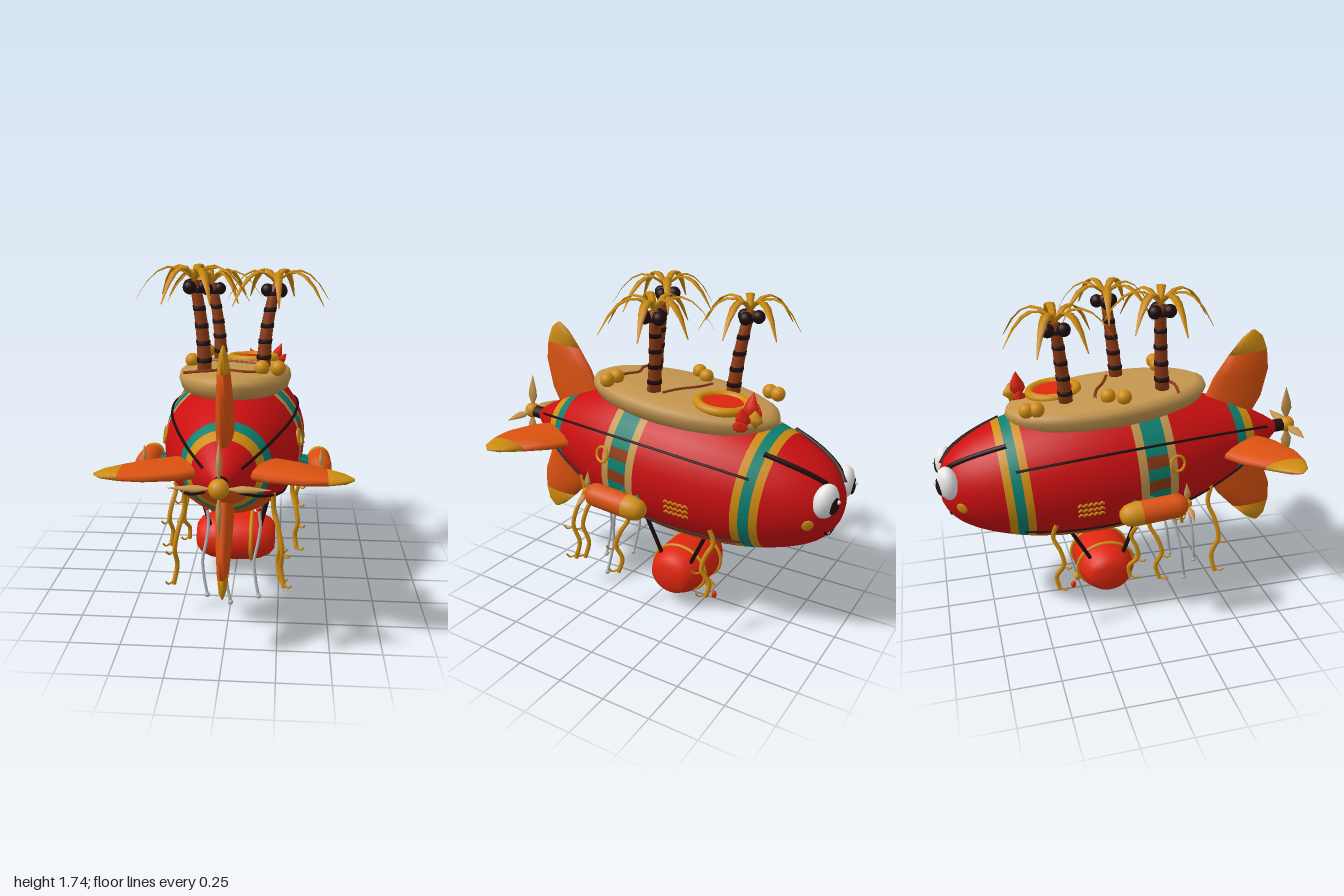
import * as THREE from 'three';

const mat = (name, color, side = THREE.FrontSide) => {
  const m = new THREE.MeshStandardMaterial({ color, side });
  m.name = name;
  return m;
};
const V = (x, y, z) => new THREE.Vector3(x, y, z);
const rad = THREE.MathUtils.degToRad;

export function createModel() {
  const red = mat('red', 0xcc0f10), scarlet = mat('scarlet', 0xe0260f), orange = mat('orange', 0xdb5210);
  const gold = mat('gold', 0xcf8c10), teal = mat('teal', 0x0c8070), tan = mat('tan', 0xc4964f);
  const brown = mat('brown', 0x8c3a14), dark = mat('dark', 0x200c0c);
  const white = mat('white', 0xf2f2f2), silver = mat('silver', 0xb4b8bc);

  const root = new THREE.Group();
  root.name = 'airship';
  // Hull parts share a frame pitched slightly nose-down
  const ship = new THREE.Group();
  ship.name = 'hullAssembly';
  ship.position.y = 0.81;
  ship.rotation.x = -0.085;
  root.add(ship);

  const add = (parent, name, geo, material, x = 0, y = 0, z = 0) => {
    const m = new THREE.Mesh(geo, material);
    m.name = name;
    m.position.set(x, y, z);
    parent.add(m);
    return m;
  };
  const ball = (parent, name, material, r, x, y, z) =>
    add(parent, name, new THREE.SphereGeometry(r, 16, 12), material, x, y, z);
  const tube = (parent, name, material, pts, r, sides = 6) =>
    add(parent, name, new THREE.TubeGeometry(new THREE.CatmullRomCurve3(pts), pts.length * 6, r, sides), material);
  // Lathe whose axis lies along z
  const latheZ = (pts, seg) =>
    new THREE.LatheGeometry(pts.map(p => new THREE.Vector2(...p)), seg).rotateX(Math.PI / 2);

  // Skin over closed rings, capped at both ends and turned outward
  function loft(rings) {
    const n = rings[0].length, pts = rings.flat(), idx = [];
    for (let i = 0; i < rings.length - 1; i++) for (let j = 0; j < n; j++) {
      const a = i * n + j, b = i * n + (j + 1) % n;
      idx.push(a, b, a + n, b, b + n, a + n);
    }
    const last = (rings.length - 1) * n;
    for (let j = 1; j < n - 1; j++) idx.push(0, j + 1, j, last, last + j, last + j + 1);
    let vol = 0;
    for (let i = 0; i < idx.length; i += 3)
      vol += pts[idx[i]].dot(V(0, 0, 0).crossVectors(pts[idx[i + 1]], pts[idx[i + 2]]));
    if (vol < 0) idx.reverse();
    const g = new THREE.BufferGeometry().setFromPoints(pts);
    g.setIndex(idx);
    g.computeVertexNormals();
    return g;
  }
  const ellipse = (n, f) => Array.from({ length: n }, (_, k) => f(Math.cos(k / n * 2 * Math.PI), Math.sin(k / n * 2 * Math.PI)));
  // Leaf-shaped blade growing along +y, chord along z
  const blade = (len, chord, thick) => loft([[0, .25], [.2, .35], [.42, 1], [.6, .85], [.82, .4], [1, .04]]
    .map(([t, w]) => ellipse(8, (c, s) => V(c * thick * w, t * len, s * chord * w))));

  // Hull: painted lathe
  const profile = new THREE.SplineCurve([[0, -.985], [.07, -.977], [.15, -.935], [.21, -.865], [.265, -.76], [.32, -.6], [.36, -.4],
    [.377, -.15], [.362, .1], [.322, .3], [.25, .5], [.18, .65], [.09, .8], [.03, .88]].map(p => new THREE.Vector2(...p))).getPoints(260);
  const interp = (pts, z) => {
    let i = 1;
    while (i < pts.length - 1 && pts[i].y < z) i++;
    const a = pts[i - 1], b = pts[i];
    return a.x + (b.x - a.x) * THREE.MathUtils.clamp((z - a.y) / (b.y - a.y), 0, 1);
  };
  const stations = [-.985, -.977, -.96, -.935, -.9, -.865, -.82, -.77, -.72, -.67, -.63, -.58, -.54, -.42, -.3, -.2, -.1,
    -.005, .04, .155, .2, .3, .4, .5, .58, .64, .7, .76, .82, .88];
  const hull = stations.map(z => new THREE.Vector2(interp(profile, z), z));
  // Point on the hull skin; e is degrees above the horizontal
  const skin = (z, e, off = 0, side = 1) => {
    const r = interp(hull, z) + off;
    return V(side * r * Math.cos(rad(e)), r * Math.sin(rad(e)), z);
  };
  const paints = [red, orange, gold, teal, tan, brown];
  const paintAt = (z, d) => { // d: degrees round from the keel
    if (z > -.67 && z < -.54) return z > -.63 && z < -.58 ? 3 : 2;
    if (z > -.005 && z < .2) return z < .04 || z > .155 ? 4 : (d > 80 && d < 90) || (d > 100 && d < 110) ? 5 : 3;
    if (z > .58 && z < .7) return z < .64 ? 3 : 2;
    return z > -.54 && d < 50 ? 1 : 0;
  };
  const SEG = 36, hullGeo = new THREE.LatheGeometry(hull, SEG).rotateX(Math.PI / 2);
  const faces = paints.map(() => []), N = hull.length;
  for (let i = 0; i < SEG; i++) for (let j = 0; j < N - 1; j++) {
    const d = (i + .5) * 360 / SEG, a = i * N + j;
    faces[paintAt((stations[j] + stations[j + 1]) / 2, Math.min(d, 360 - d))].push(a, a + N, a + 1, a + N + 1, a + 1, a + N);
  }
  hullGeo.setIndex(faces.flat());
  hullGeo.clearGroups();
  faces.reduce((start, f, k) => (hullGeo.addGroup(start, f.length, k), start + f.length), 0);
  add(ship, 'hull', hullGeo, paints);

  // Tail propeller
  add(ship, 'propellerShaft', new THREE.CylinderGeometry(.035, .035, .09, 12).rotateX(Math.PI / 2), dark, 0, 0, .9);
  ball(ship, 'propellerHub', gold, .045, 0, 0, .955);
  for (let k = 0; k < 4; k++)
    add(ship, 'propellerBlade', blade(.22, .032, .014), tan, 0, 0, .955).rotation.z = k * Math.PI / 2;

  // Four tail fins with gold tips: [span, leading z, trailing z, half thickness]
  const fin = [[.08, .42, .72, .045], [.2, .45, .8, .042], [.35, .53, .845, .036], [.46, .62, .84, .028], [.54, .695, .815, .018], [.578, .75, .775, .004]]
    .map(([s, a, b, t]) => ellipse(14, (c, q) => V(q * t, s, (a + b) / 2 + c * (b - a) / 2)));
  for (let k = 0; k < 4; k++) {
    add(ship, 'tailFin', loft(fin.slice(0, 4)), orange).rotation.z = k * Math.PI / 2;
    add(ship, 'finTip', loft(fin.slice(3)), gold).rotation.z = k * Math.PI / 2;
  }

  // Details repeated on both flanks
  for (const s of [-1, 1]) {
    for (const e of [28, -40])
      tube(ship, 'seamLine', dark, Array.from({ length: 15 }, (_, i) => skin(-.6 + i * .1, e, .003, s)), .007);
    tube(ship, 'eyebrow', dark, [[-.62, 53], [-.72, 54], [-.83, 56], [-.91, 59], [-.955, 62]].map(([z, e]) => skin(z, e, .008, s)), .013, 8);
    // Painted squiggles and ring
    for (const e of [-9, -14, -19])
      tube(ship, 'squiggle', gold, Array.from({ length: 11 }, (_, i) => skin(-.33 + i * .013, e + (i % 2 ? .9 : -.9), .002, s)), .006, 5);
    const place = (m, z, e, nz) => {
      const p = skin(z, e, .002, s);
      ship.remove(m);
      m.position.copy(p);
      m.lookAt(p.x * 2, p.y * 2, p.z + nz);
      ship.add(m);
    };
    place(add(ship, 'ringMark', new THREE.TorusGeometry(.04, .008, 6, 16), gold), .2, 10, .08);
    const cheek = ball(ship, 'cheek', gold, .03, 0, 0, 0);
    cheek.scale.z = .25;
    place(cheek, -.885, -10, -.15);

    // Eyes
    const eye = new THREE.Group();
    eye.name = 'eye';
    eye.position.set(s * .128, .085, -.932);
    eye.rotation.y = -s * .3;
    ship.add(eye);
    ball(eye, 'eyeball', white, 1, 0, 0, 0).scale.set(.075, .088, .052);
    ball(eye, 'pupil', dark, 1, -s * .008, -.01, -.044).scale.set(.036, .045, .014);
    ball(eye, 'glint', white, .011, -s * .02, .012, -.054);
    add(ship, 'fang', new THREE.ConeGeometry(.012, .035, 8).rotateX(Math.PI), white, s * .05, -.128, -.945);

    // Engine pod with three-bladed propeller
    const pod = new THREE.Group();
    pod.name = 'enginePod';
    pod.position.set(s * .455, -.11, .025);
    ship.add(pod);
    add(pod, 'podBody', latheZ([[.061, -.06], [.061, .12], [.055, .15], [.03, .175], [0, .178]], 14), orange);
    add(pod, 'podNose', latheZ([[0, -.172], [.03, -.165], [.052, -.14], [.061, -.1], [.061, -.06]], 14), gold);
    ball(pod, 'podHub', gold, .022, 0, 0, .18);
    for (let k = 0; k < 3; k++)
      add(pod, 'podBlade', blade(.115, .018, .012), tan, 0, 0, .18).rotation.z = k * 2 * Math.PI / 3;
    for (const z of [-.04, .05])
      tube(ship, 'podStrut', teal, [V(s * .32, -.09, z), V(s * .42, -.11, z)], .014);

    // Gondola struts
    tube(root, 'gondolaStrut', dark, [V(s * .19, .5, .02), V(s * .14, .28, -.04)], .011);
    tube(root, 'gondolaStrut', dark, [V(s * .19, .48, -.33), V(s * .14, .27, -.22)], .011);
    const hoop = add(root, 'gondolaHoop', new THREE.TorusGeometry(1, .06, 8, 36).rotateY(Math.PI / 2), gold, s * .09, .19, -.125);
    hoop.scale.set(.17, .134, .16);
  }
  tube(ship, 'mouth', dark, [-145, -125, -105, -90, -75, -55, -35].map(e => skin(-.945, e, .003)), .006);

  // Gondola barrel hung crosswise
  const barrel = [[0, -.225], [.07, -.222], [.105, -.195], [.13, -.14], [.14, -.07], [.142, 0], [.14, .07], [.13, .14], [.105, .195], [.07, .222], [0, .225]];
  add(root, 'gondola', new THREE.LatheGeometry(barrel.map(p => new THREE.Vector2(...p)), 28).rotateZ(Math.PI / 2), scarlet, 0, .19, -.125).scale.set(1, .97, 1.12);
  tube(root, 'spout', gold, [V(0, .11, -.23), V(0, .065, -.285)], .022, 10);
  ball(root, 'spoutDrop', scarlet, .014, 0, .022, -.295).scale.y = 1.6;

  // Sand deck on top
  const deckPts = [[0, -.09], [.8, -.075], [.95, -.045], [1, 0], [.98, .03], [.9, .05], [.6, .06], [0, .063]];
  add(ship, 'sandDeck', new THREE.LatheGeometry(deckPts.map(p => new THREE.Vector2(...p)), 40), tan, 0, .34, -.06).scale.set(.297, 1, .535);
  add(ship, 'hatchRim', new THREE.TorusGeometry(.125, .024, 10, 32).rotateX(Math.PI / 2), gold, .08, .402, -.325);
  add(ship, 'hatchCover', new THREE.CylinderGeometry(.115, .115, .02, 32), scarlet, .08, .4, -.325);
  for (const [x, z] of [[-.19, -.5], [-.2, -.45], [.15, .26], [.23, .265], [-.23, -.02], [-.18, -.09]])
    ball(ship, 'rock', gold, .038, x, .42, z);
  tube(ship, 'deckVine', brown, [V(-.24, .39, .26), V(-.12, .402, .27), V(-.03, .404, .24), V(.06, .402, .28), V(.15, .396, .25)], .008);
  tube(ship, 'deckVine', brown, [V(-.14, .402, -.15), V(-.04, .405, -.12), V(.06, .405, -.06), V(.16, .402, -.02)], .008);
  // Flame-like plant at the nose end of the deck
  for (const [x, len, tilt, m] of [[.1, .1, .5, scarlet], [.14, .17, .1, scarlet], [.19, .13, -.4, scarlet], [.21, .08, -.8, scarlet], [.15, .1, -.2, gold]])
    add(ship, 'flamePlant', blade(len, .04, .028), m, x, .35, m === gold ? -.54 : -.5).rotation.z = tilt;

  // Palm trees: base and crown points
  const palms = [[V(-.1, 1.15, -.32), V(-.155, 1.6, -.375)], [V(.15, 1.18, 0), V(.21, 1.63, -.045)], [V(-.14, 1.19, .17), V(-.19, 1.665, .135)]];
  palms.forEach(([a, b], p) => {
    const tree = new THREE.Group();
    tree.name = 'palmTree';
    root.add(tree);
    const path = new THREE.QuadraticBezierCurve3(a, V(a.x, (a.y + b.y) / 2, a.z - .02), b);
    const ring = (t, k) => {
      const c = path.getPoint(t), r = (.037 - .01 * t) * k;
      return ellipse(10, (u, v) => V(c.x + u * r, c.y, c.z + v * r));
    };
    const ts = [0, .2, .4, .6, .8, 1];
    add(tree, 'trunk', loft(ts.map(t => ring(t, 1))), brown);
    for (const t of [.18, .36, .54, .72, .9])
      add(tree, 'trunkBand', loft([ring(t - .025, 1.08), ring(t + .025, 1.08)]), dark);
    for (let k = 0; k < 3; k++) {
      const q = k * 2.09 + p;
      ball(tree, 'coconut', dark, .034, b.x + .045 * Math.cos(q), b.y - .03, b.z + .045 * Math.sin(q));
    }
    for (let k = 0; k < 7; k++) {
      const q = k * 2 * Math.PI / 7 + p * .6, dir = V(Math.cos(q), 0, Math.sin(q)), side = V(-dir.z, 0, dir.x);
      const len = .29 - .03 * (k % 2);
      const rings = [0, .12, .28, .45, .62, .8, 1].map(t => {
        const w = .003 + .021 * Math.sin(Math.PI * (.1 + .9 * t));
        const c = b.clone().addScaledVector(dir, len * t);
        c.y += .34 * t - .43 * t * t;
        return ellipse(4, (u, v) => c.clone().addScaledVector(side, u * w).add(V(0, v * .008 * (1.1 - t), 0)));
      });
      add(tree, 'frond', loft(rings), gold);
    }
  });

  // Hanging vines: [side, top x, y, z, bottom x, y, z]
  const vines = [[.22, .68, .43, .28, .17, .45], [.32, .62, .07, .345, .22, .11], [.33, .62, -.43, .355, .25, -.43]]
    .flatMap(v => [[1, ...v], [-1, ...v]]);
  vines.push([1, .22, .68, .36, .26, .18, .4], [-1, .28, .52, 0, .26, .2, -.03]);
  for (const [s, x0, y0, z0, x1, y1, z1] of vines) {
    const at = (t, w) => V(s * (x0 + (x1 - x0) * t + w * .5), y0 + (y1 - y0) * t, z0 + (z1 - z0) * t + w);
    tube(root, 'hangingVine', gold, [at(0, 0), at(.2, -.02), at(.4, .012), at(.6, .025), at(.8, -.012), at(1, 0)], .012);
    for (const t of [.62, .96]) {
      const c = at(t, t < .8 ? .022 : 0);
      tube(root, 'vineTwig', gold, [c, V(c.x + s * .025, c.y - .008, c.z + .025), V(c.x + s * .04, c.y + .014, c.z + .04)], .005, 5);
    }
  }

  // Silver trailing wires with ball ends
  for (const [x, y0, z0, y1, z1] of [[-.13, .52, .25, .05, .33], [.14, .52, .25, .05, .33], [0, .55, .375, .07, .435]]) {
    const pts = [0, .2, .4, .6, .8, 1].map((t, i) => V(x + [0, .012, 0, -.018, -.01, .008][i], y0 + (y1 - y0) * t, z0 + (z1 - z0) * t));
    tube(root, 'trailingWire', silver, pts, .008);
    ball(root, 'wireEnd', silver, .014, pts[5].x, y1, z1);
    ball(root, 'wireSocket', scarlet, .014, x, y0 - .01, z0);
  }
  return root;
}
